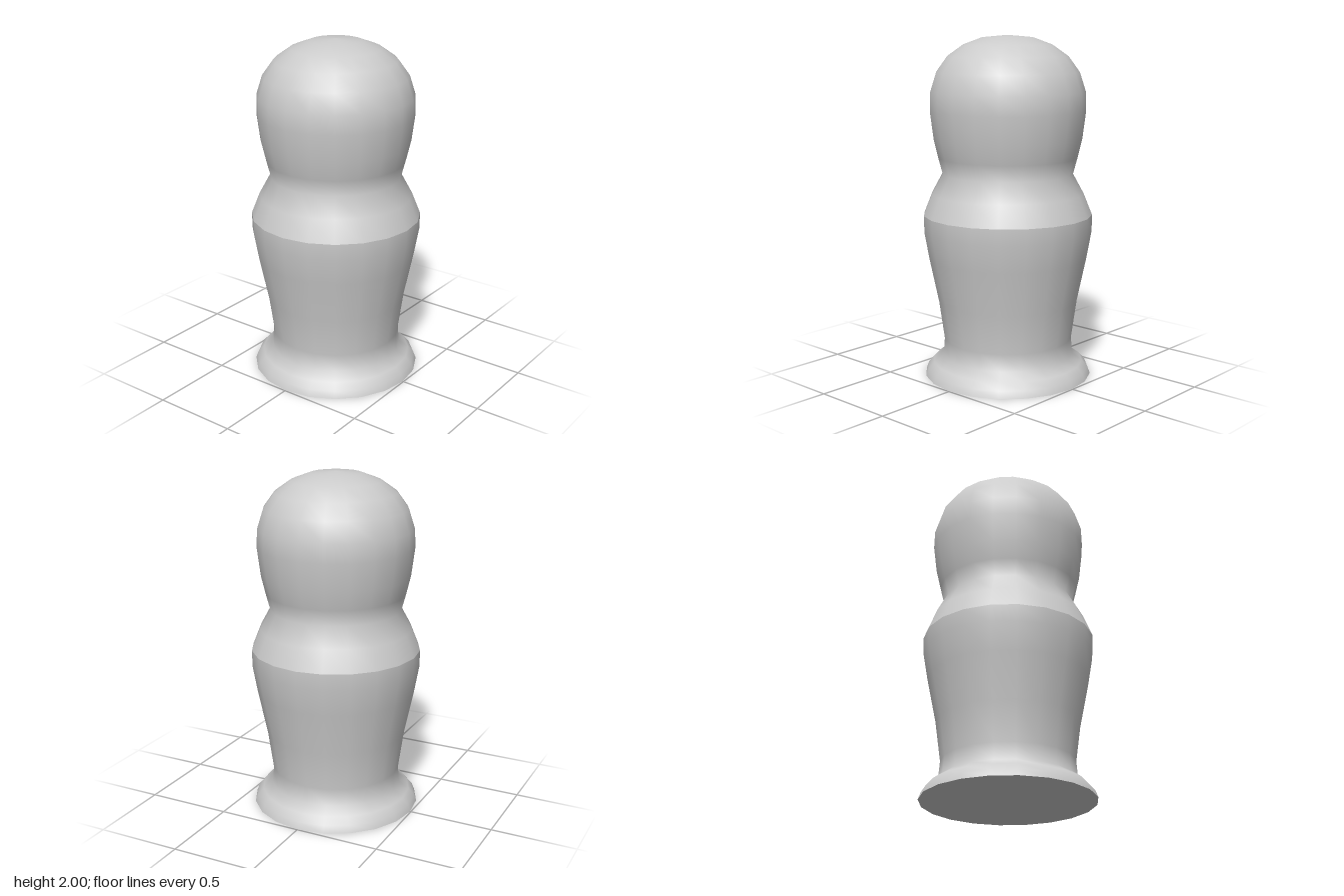
import * as THREE from 'three';

const SIDES = 20;

export function createModel() {
  const group = new THREE.Group();
  const material = new THREE.MeshStandardMaterial({ color: 0xcccccc });

  // Turns a profile of [radius, height] pairs, listed from the bottom up
  const turn = (name, profile) => {
    const points = profile.map(([r, y]) => new THREE.Vector2(r, y));
    const mesh = new THREE.Mesh(new THREE.LatheGeometry(points, SIDES), material);
    mesh.name = name;
    group.add(mesh);
  };

  // Flat underside
  turn('underside', [[0, 0], [0.495, 0]]);

  // Flared foot flowing into the tapered body, up to the crisp shoulder edge
  turn('footAndBody', [
    [0.495, 0], [0.48, 0.04], [0.445, 0.08], [0.388, 0.12],
    [0.38, 0.22], [0.412, 0.45], [0.466, 0.71], [0.494, 0.87], [0.495, 0.965],
  ]);

  // Sloping shoulders, narrow neck and domed head
  turn('shouldersAndHead', [
    [0.495, 0.965], [0.445, 1.09], [0.382, 1.205], [0.407, 1.3],
    [0.433, 1.41], [0.453, 1.57], [0.45, 1.68], [0.415, 1.79],
    [0.35, 1.88], [0.257, 1.946], [0.147, 1.987], [0, 2],
  ]);

  return group;
}
